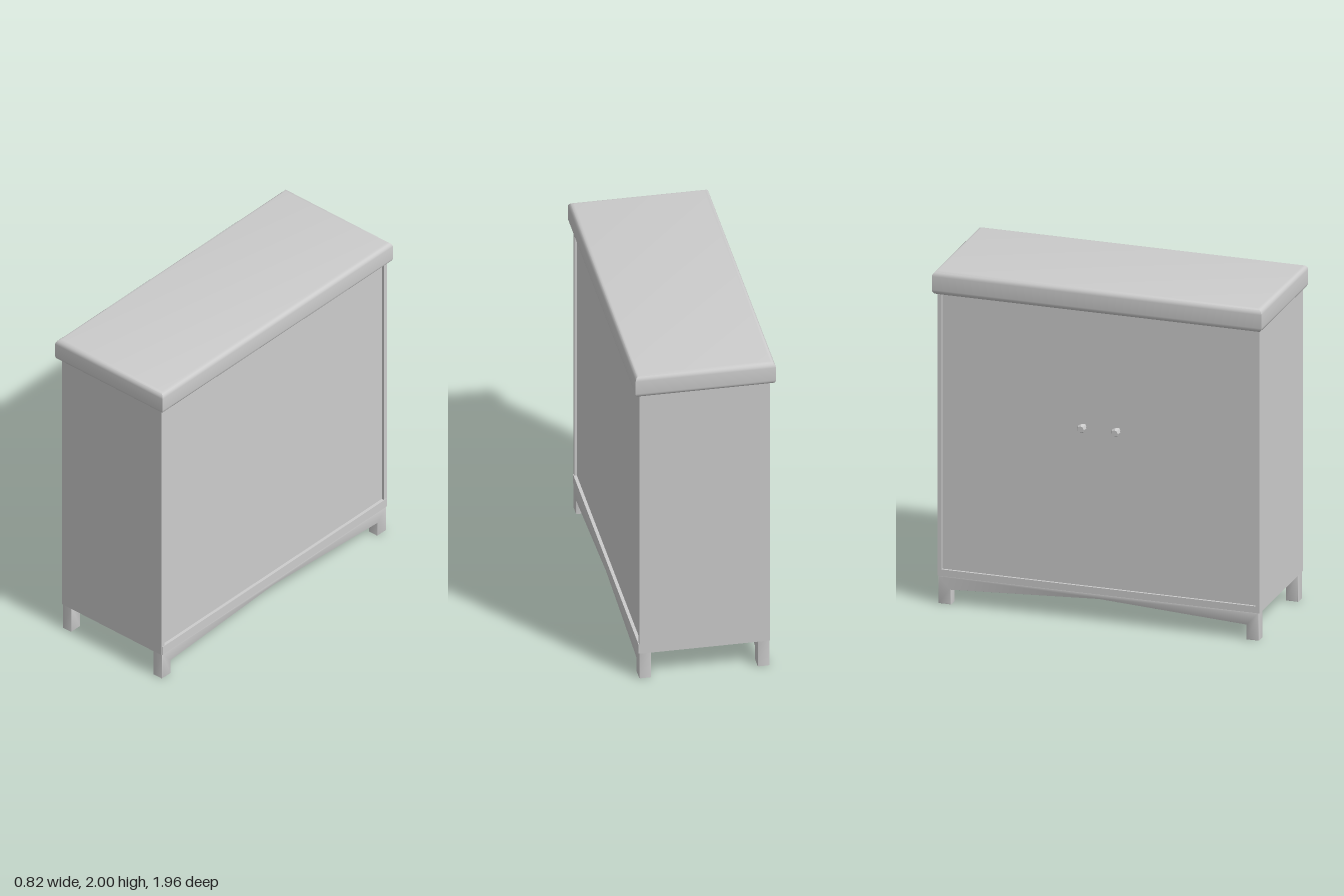
import * as THREE from 'three';
import { toCreasedNormals } from 'three/addons/utils/BufferGeometryUtils.js';

const material = new THREE.MeshStandardMaterial({ color: 0xcccccc });

function addMesh(group, name, geometry, x = 0, y = 0, z = 0) {
  const mesh = new THREE.Mesh(geometry, material);
  mesh.name = name;
  mesh.position.set(x, y, z);
  group.add(mesh);
  return mesh;
}

// Box given by its minimum and maximum corners
function addBox(group, name, [x0, y0, z0], [x1, y1, z1]) {
  const geometry = new THREE.BoxGeometry(x1 - x0, y1 - y0, z1 - z0);
  return addMesh(group, name, geometry, (x0 + x1) / 2, (y0 + y1) / 2, (z0 + z1) / 2);
}

function polygon(points) {
  return new THREE.Shape(points.map(([x, y]) => new THREE.Vector2(x, y)));
}

// Bevelled slab whose total thickness includes both bevels, centred on its depth
function bevelledSlab(points, thickness, bevel, segments) {
  const geometry = new THREE.ExtrudeGeometry(polygon(points), {
    depth: thickness - 2 * bevel,
    bevelSize: bevel,
    bevelThickness: bevel,
    bevelOffset: -bevel,
    bevelSegments: segments,
  });
  geometry.translate(0, 0, bevel - thickness / 2);
  return toCreasedNormals(geometry, 0.7);
}

export function createModel() {
  const cabinet = new THREE.Group();
  cabinet.name = 'cabinet';

  // Thick top with rounded, mitred edges
  const top = bevelledSlab(
    [[-0.403, -0.982], [0.403, -0.982], [0.403, 0.982], [-0.403, 0.982]], 0.14, 0.03, 5);
  top.rotateX(-Math.PI / 2);
  addMesh(cabinet, 'top', top, 0.007, 1.93, 0);

  // End panels stand slightly proud of the long faces
  for (const [name, side] of [['frontEndPanel', 1], ['backEndPanel', -1]]) {
    const panel = addBox(cabinet, name, [-0.365, 0.17, 0.935], [0.383, 1.87, 0.96]);
    panel.position.z *= side;
  }

  // Long faces, set back between the end panels
  addBox(cabinet, 'body', [-0.35, 0.175, -0.94], [0.368, 1.87, 0.94]);

  // Bottom rails under the long faces
  addBox(cabinet, 'doorBottomRail', [-0.364, 0.17, -0.94], [-0.34, 0.21, 0.94]);
  addBox(cabinet, 'plainBottomRail', [0.36, 0.17, -0.955], [0.387, 0.225, 0.955]);

  // Leg pairs joined by an apron that rises to a shallow peak
  const apronOutline = [
    [-0.955, 0.005], [-0.88, 0.005], [-0.88, 0.093], [0, 0.142], [0.88, 0.093],
    [0.88, 0.005], [0.955, 0.005], [0.955, 0.172], [-0.955, 0.172],
  ];
  const legs = bevelledSlab(apronOutline, 0.07, 0.006, 2);
  legs.rotateY(Math.PI / 2);
  addMesh(cabinet, 'doorSideLegs', legs, -0.33, 0, 0);
  addMesh(cabinet, 'plainSideLegs', legs, 0.35, 0, 0);

  // Pair of faceted knobs on the door face
  const knobProfile = [[0.013, 0], [0.016, 0.022], [0.024, 0.032], [0.025, 0.054], [0.019, 0.064], [0, 0.064]]
    .map(([r, h]) => new THREE.Vector2(r, h));
  const knob = toCreasedNormals(new THREE.LatheGeometry(knobProfile, 8), 0.5);
  knob.rotateZ(Math.PI / 2);
  for (const z of [-0.09, 0.113]) addMesh(cabinet, 'knob', knob, -0.35, 1.165, z);

  return cabinet;
}
